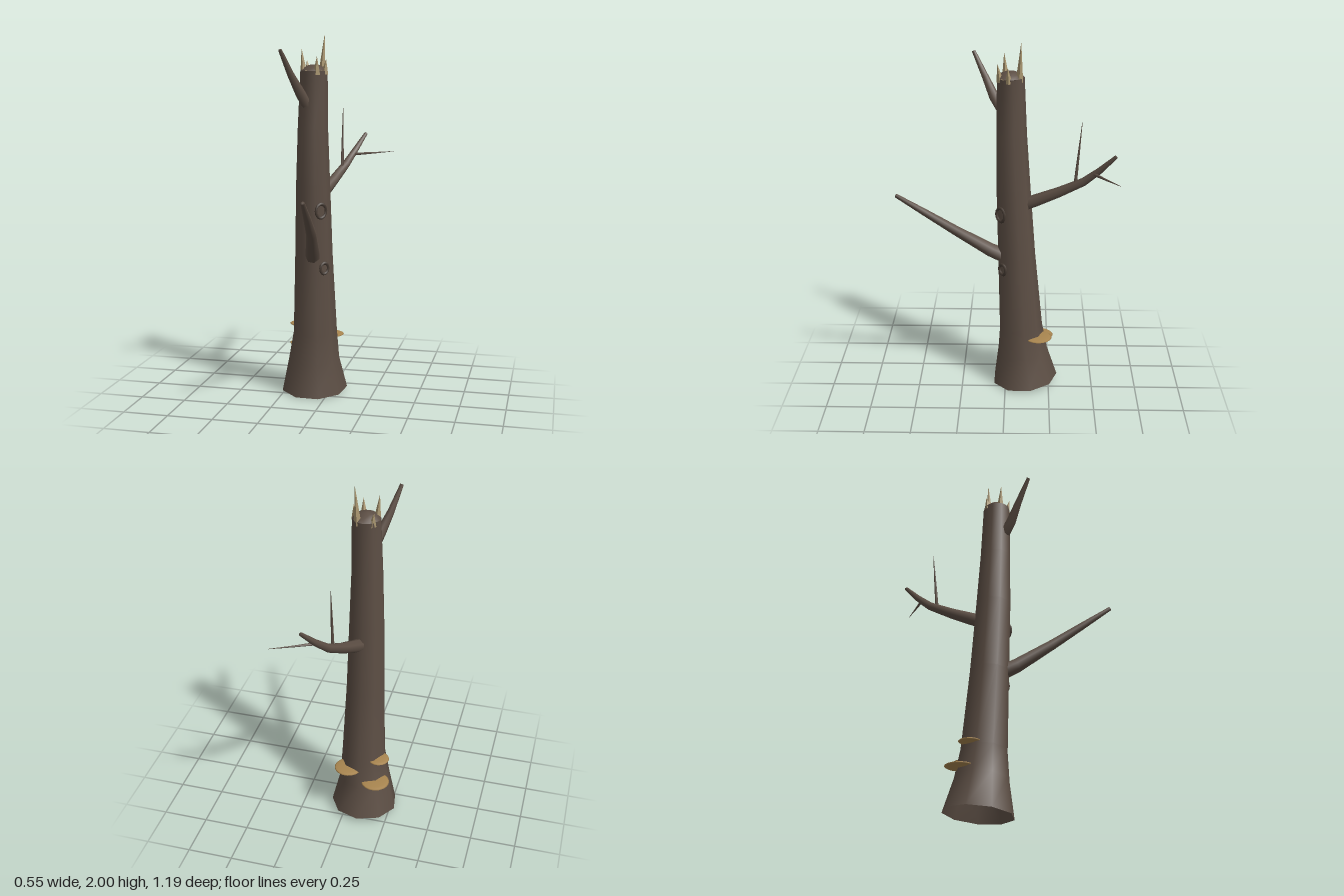
import * as THREE from 'three';

const V = (p) => new THREE.Vector3(p[0], p[1], p[2]);

// Skin of rings along a path; each row is [x, y, z, radius]
function loft(rows, sides, capped) {
  const pts = rows.map(V), pos = [], idx = [];
  const up = new THREE.Vector3(0, 1, 0), q = new THREE.Quaternion();
  pts.forEach((p, i) => {
    const dir = pts[Math.min(i + 1, pts.length - 1)].clone().sub(pts[Math.max(i - 1, 0)]).normalize();
    q.setFromUnitVectors(up, dir);
    for (let s = 0; s < sides; s++) {
      const a = (s / sides) * Math.PI * 2, r = rows[i][3];
      const v = new THREE.Vector3(Math.sin(a) * r, 0, -Math.cos(a) * r).applyQuaternion(q).add(p);
      pos.push(v.x, v.y, v.z);
    }
  });
  for (let i = 0; i < rows.length - 1; i++) {
    for (let s = 0; s < sides; s++) {
      const a = i * sides + s, b = i * sides + ((s + 1) % sides);
      idx.push(a, a + sides, b, b, a + sides, b + sides);
    }
  }
  if (capped) {
    const last = (rows.length - 1) * sides, c = pos.length / 3, e = pts[pts.length - 1];
    pos.push(e.x, e.y, e.z);
    for (let s = 0; s < sides; s++) idx.push(last + s, c, last + ((s + 1) % sides));
  }
  const g = new THREE.BufferGeometry();
  g.setAttribute('position', new THREE.Float32BufferAttribute(pos, 3));
  g.setIndex(idx);
  g.computeVertexNormals();
  return g;
}

export function createModel() {
  const group = new THREE.Group();
  const mat = (name, color, side = THREE.FrontSide) => {
    const m = new THREE.MeshStandardMaterial({ color, side });
    m.name = name;
    return m;
  };
  const bark = mat('bark', 0x5c4e44, THREE.DoubleSide);
  const knotBark = mat('darkBark', 0x463b33);
  const wood = mat('splinteredWood', 0xa8956f);
  const fungus = mat('fungus', 0xa8854f);
  const add = (name, geo, material) => {
    const m = new THREE.Mesh(geo, material);
    m.name = name;
    group.add(m);
    return m;
  };

  // Leaning hollow trunk with flared foot
  add('trunk', loft([
    [-0.095, 0.015, -0.112, 0.188],
    [-0.094, 0.2, -0.095, 0.145],
    [-0.084, 0.36, -0.086, 0.124],
    [-0.085, 0.8, -0.06, 0.106],
    [-0.084, 1.2, -0.041, 0.095],
    [-0.082, 1.5, -0.031, 0.084],
    [-0.074, 1.81, -0.026, 0.075],
  ], 9, false), bark);

  // Rounded broken top
  add('trunkTop', loft([
    [-0.074, 1.81, -0.026, 0.075],
    [-0.074, 1.828, -0.026, 0.056],
    [-0.074, 1.839, -0.026, 0.03],
    [-0.074, 1.843, -0.026, 0.008],
  ], 9, true), bark);

  // Branches
  add('frontBranch', loft([
    [-0.075, 0.79, 0.0, 0.042],
    [-0.055, 0.835, 0.08, 0.039],
    [-0.015, 0.965, 0.27, 0.028],
    [0.005, 1.08, 0.44, 0.02],
    [0.02, 1.18, 0.59, 0.011],
  ], 7, true), bark);
  add('backBranch', loft([
    [-0.066, 1.1, -0.1, 0.037],
    [-0.055, 1.13, -0.17, 0.035],
    [-0.02, 1.19, -0.29, 0.029],
    [0.022, 1.265, -0.42, 0.023],
    [0.06, 1.34, -0.5, 0.018],
    [0.108, 1.433, -0.58, 0.01],
  ], 7, true), bark);
  add('upperBranch', loft([
    [-0.1, 1.63, 0.02, 0.031],
    [-0.125, 1.69, 0.062, 0.028],
    [-0.165, 1.79, 0.11, 0.019],
    [-0.206, 1.92, 0.173, 0.01],
  ], 7, true), bark);

  // Thin twigs on the back branch
  add('uprightTwig', loft([[0.008, 1.25, -0.375, 0.01], [0.007, 1.42, -0.39, 0.006], [0.006, 1.59, -0.405, 0.001]], 5, true), bark);
  add('sideTwig', loft([[0.06, 1.32, -0.475, 0.009], [0.16, 1.323, -0.532, 0.005], [0.272, 1.329, -0.596, 0.001]], 5, true), bark);

  // Oval knot rings facing outward
  [[-0.022, 1.055, 0.026, 0.032], [-0.006, 0.735, 0.015, 0.025]].forEach(([x, y, z, r]) => {
    const knot = add('knot', new THREE.TorusGeometry(r, 0.008, 6, 14), knotBark);
    knot.position.set(x, y, z);
    knot.rotation.y = Math.PI / 4;
    knot.scale.y = 1.2;
  });

  // Bracket fungi: flattened domes half sunk in the trunk
  [[-0.177, 0.245, -0.195, 0.08], [-0.183, 0.373, -0.145, 0.06], [-0.018, 0.31, -0.187, 0.078]].forEach(([x, y, z, r]) => {
    const shelf = add('bracketFungus', new THREE.SphereGeometry(r, 18, 8), fungus);
    shelf.position.set(x, y, z);
    shelf.scale.y = 0.009 / r;
  });

  // Splinters around the broken rim: base x, base z, tip x, tip y, tip z
  [
    [-0.04, -0.073, -0.027, 2.0, -0.082],
    [-0.122, 0.0, -0.132, 1.925, 0.008],
    [-0.012, -0.018, -0.003, 1.87, -0.014],
    [-0.046, 0.027, -0.04, 1.885, 0.042],
    [-0.115, -0.07, -0.124, 1.865, -0.078],
  ].forEach(([bx, bz, tx, ty, tz]) => {
    add('splinter', loft([[bx, 1.79, bz, 0.02], [tx, ty, tz, 0.0005]], 4, false).toNonIndexed(), wood)
      .geometry.computeVertexNormals();
  });

  return group;
}
